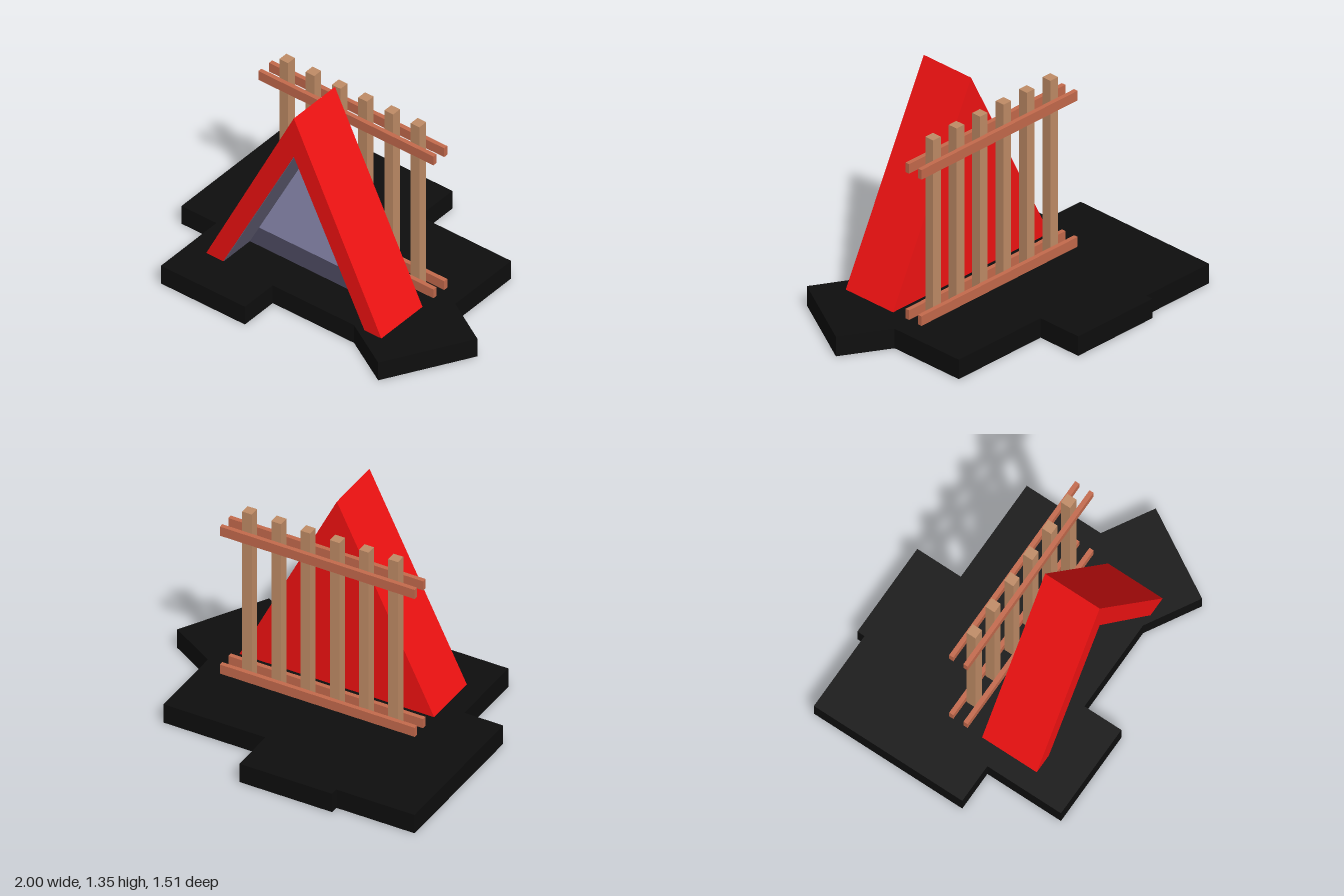
import * as THREE from 'three';

const material = (color) => new THREE.MeshStandardMaterial({ color });
const black = material(0x0e0e0e);
const red = material(0xf01212);
const lavender = material(0x9290b8);
const liningGrey = material(0x6e6c84);
const darkLavender = material(0x504d64);
const postWood = material(0xc08c66);
const railWood = material(0xc46a4c);

const GROUND = 0.122; // top of the base
const CX = -0.025; // centre line of tent and fence

export function createModel() {
  const model = new THREE.Group();

  const add = (name, geometry, mat, parent = model) => {
    const mesh = new THREE.Mesh(geometry, mat);
    mesh.name = name;
    parent.add(mesh);
    return mesh;
  };
  const polygon = (points) => new THREE.Shape(points.map(([x, y]) => new THREE.Vector2(x, y)));
  const extrude = (shape, depth) => new THREE.ExtrudeGeometry(shape, { depth, bevelEnabled: false });
  const box = (name, size, position, mat, parent) =>
    add(name, new THREE.BoxGeometry(...size), mat, parent).position.set(...position);

  // Ground slab: outline of overlapping square tiles, given as x, z
  const outline = [
    [-1, -0.71], [-0.51, -0.71], [-0.51, -0.757], [0.07, -0.757], [0.07, -0.47],
    [0.708, -0.47], [0.708, 0.018], [0.995, 0.185], [0.705, 0.688], [0.395, 0.51],
    [-0.172, 0.51], [-0.172, 0.753], [-0.757, 0.753], [-0.757, 0.268], [-1, 0.268],
  ];
  const slab = extrude(polygon(outline.map(([x, z]) => [x, -z])), GROUND);
  add('groundSlab', slab.rotateX(-Math.PI / 2), black);

  // Tent: triangular shell with a closed back and a recessed panel
  const tent = new THREE.Group();
  tent.name = 'tent';
  model.add(tent);
  const triangle = (half, apex, bottom = GROUND) =>
    polygon([[CX - half, bottom], [CX + half, bottom], [CX, apex]]);
  // A-frame with an open underside
  const frame = (half, apex, innerHalf, innerApex) => polygon([
    [CX - half, GROUND], [CX - innerHalf, GROUND], [CX, innerApex],
    [CX + innerHalf, GROUND], [CX + half, GROUND], [CX, apex],
  ]);
  add('tentShell', extrude(frame(0.61, 1.345, 0.492, 1.081), 0.36), red, tent).position.z = 0.15;
  add('tentBack', extrude(triangle(0.495, 1.087), 0.1), red, tent).position.z = 0.15;
  add('tentLining', extrude(frame(0.492, 1.081, 0.489, 1.075), 0.257), liningGrey, tent).position.z = 0.25;

  // Recessed panel with a dark skirt along its foot
  const skirtTop = 0.247;
  const skirtHalf = 0.49 * (1.075 - skirtTop) / (1.075 - GROUND);
  add('innerPanel', extrude(triangle(skirtHalf, 1.075, skirtTop), 0.03), lavender, tent).position.z = 0.25;
  const skirt = polygon([
    [CX - 0.49, GROUND], [CX + 0.49, GROUND], [CX + skirtHalf, skirtTop], [CX - skirtHalf, skirtTop],
  ]);
  add('innerSkirt', extrude(skirt, 0.03), darkLavender, tent).position.z = 0.25;

  // Fence: six posts held between pairs of rails
  const fence = new THREE.Group();
  fence.name = 'fence';
  model.add(fence);
  for (let i = 0; i < 6; i++) {
    box('fencePost', [0.06, 1.223, 0.06], [CX + (i - 2.5) * 0.183, 0.6125, -0.006], postWood, fence);
  }
  for (const y of [0.153, 1.07]) {
    for (const z of [-0.053, 0.041]) {
      box('fenceRail', [1.22, 0.06, 0.027], [CX, y, z], railWood, fence);
    }
  }

  return model;
}
